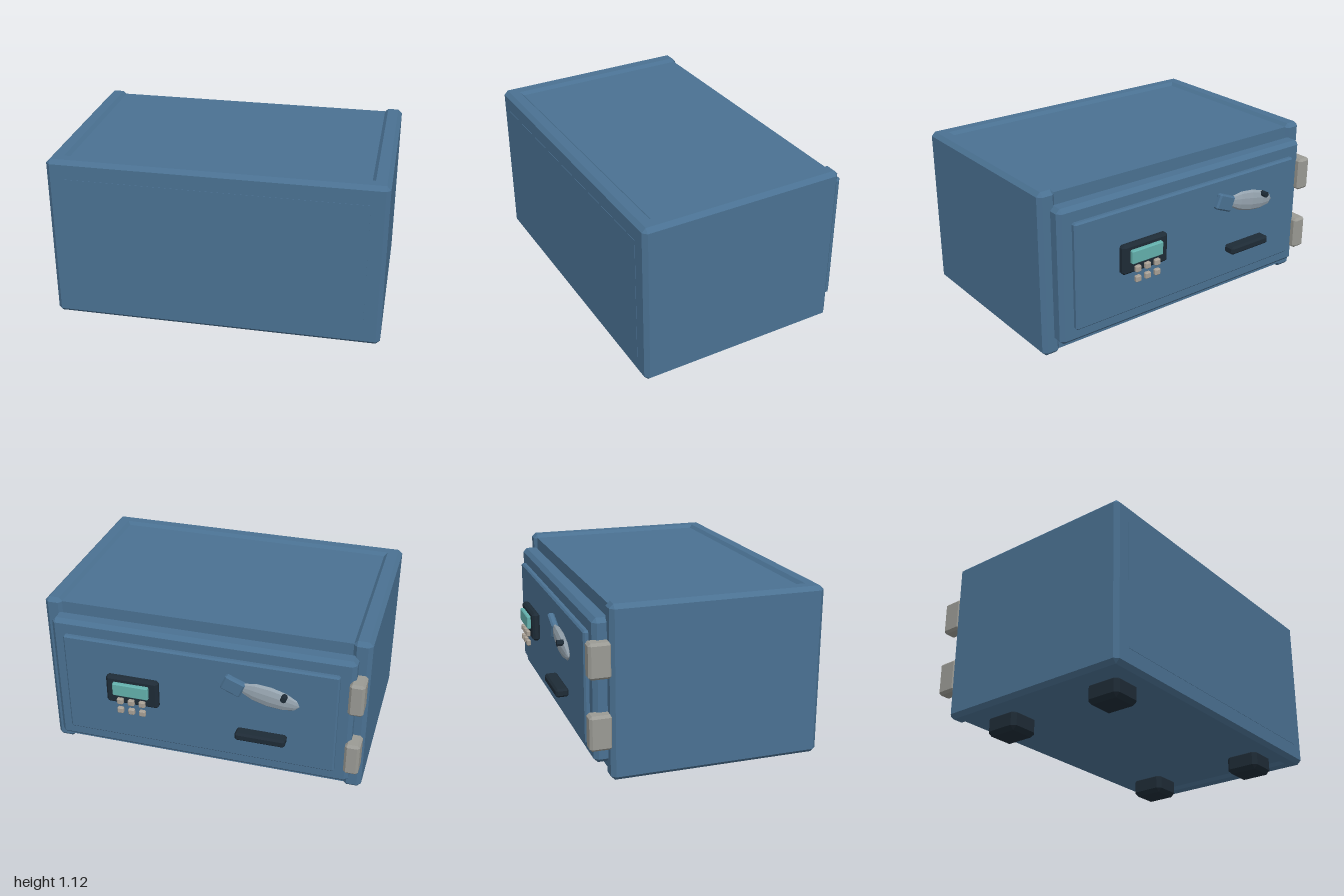
import * as THREE from 'three';
import { ConvexGeometry } from 'three/addons/geometries/ConvexGeometry.js';

const mat = (color) => new THREE.MeshStandardMaterial({ color, flatShading: true });

// Box from min and max corners with all edges chamfered by c
function chamferBox(name, [x0, x1], [y0, y1], [z0, z1], c, material) {
  const h = [(x1 - x0) / 2, (y1 - y0) / 2, (z1 - z0) / 2];
  const points = [];
  for (const sx of [-1, 1]) for (const sy of [-1, 1]) for (const sz of [-1, 1]) {
    for (let full = 0; full < 3; full++) {
      const p = [sx, sy, sz].map((s, i) => s * (h[i] - (i === full ? 0 : c)));
      points.push(new THREE.Vector3(...p));
    }
  }
  const mesh = new THREE.Mesh(new ConvexGeometry(points), material);
  mesh.name = name;
  mesh.position.set((x0 + x1) / 2, (y0 + y1) / 2, (z0 + z1) / 2);
  return mesh;
}

export function createModel() {
  const model = new THREE.Group();
  model.name = 'safe';
  const blue = mat(0x4a7192);
  const dark = mat(0x1e2b36);
  const steel = mat(0x95a3ae);
  const hingeGrey = mat(0x9a9a94);
  const teal = mat(0x63b0ac);
  const buttonGrey = mat(0xa8a095);
  const add = (...args) => {
    const mesh = chamferBox(...args);
    model.add(mesh);
    return mesh;
  };

  // Cabinet: recessed core, side walls and rear wall standing slightly proud
  const core = new THREE.Mesh(new THREE.BoxGeometry(1.82, 0.99, 1.2), blue);
  core.name = 'cabinetCore';
  core.position.set(0, 0.605, 0.085);
  model.add(core);
  add('rightWall', [-1, -0.885], [0.09, 1.12], [-0.535, 0.74], 0.025, blue);
  add('leftWall', [0.885, 1], [0.09, 1.12], [-0.535, 0.74], 0.025, blue);
  add('rearWall', [-0.985, 0.985], [0.09, 1.12], [0.63, 0.74], 0.025, blue);

  // Rear inset panel, nearly flush
  const rearPanel = new THREE.Mesh(new THREE.BoxGeometry(1.79, 0.8, 0.02), blue);
  rearPanel.name = 'rearPanel';
  rearPanel.position.set(0, 0.605, 0.732);
  model.add(rearPanel);

  // Feet
  for (const [x0, x1] of [[-0.82, -0.62], [0.62, 0.82]]) {
    for (const [z0, z1] of [[-0.39, -0.165], [0.38, 0.6]]) {
      add('foot', [x0, x1], [0, 0.13], [z0, z1], 0.025, dark);
    }
  }

  // Door slab and raised face
  add('door', [-0.93, 0.93], [0.18, 1.03], [-0.615, -0.5], 0.025, blue);
  add('doorFace', [-0.845, 0.845], [0.27, 0.94], [-0.645, -0.6], 0.01, blue);

  // Hinges
  for (const y of [0.28, 0.7]) {
    add('hinge', [-0.99, -0.9], [y, y + 0.21], [-0.655, -0.52], 0.015, hingeGrey);
  }

  // Keypad with screen and two rows of keys
  add('keypad', [0.23, 0.56], [0.555, 0.742], [-0.705, -0.655], 0.015, dark);
  add('screen', [0.285, 0.51], [0.625, 0.71], [-0.73, -0.7], 0.006, teal);
  for (const y of [0.586, 0.522]) {
    for (const x of [0.325, 0.395, 0.465]) {
      add('key', [x - 0.02, x + 0.02], [y - 0.02, y + 0.02], [-0.732, -0.705], 0.006, buttonGrey);
    }
  }

  // Latch handle: tilted block, faceted lever and small knob
  const block = add('handleBlock', [-0.295, -0.165], [0.75, 0.85], [-0.697, -0.655], 0.01, blue);
  block.rotation.z = 0.39;
  const lever = new THREE.Mesh(new THREE.SphereGeometry(1, 10, 6), steel);
  lever.name = 'handleLever';
  lever.geometry.rotateZ(Math.PI / 2);
  lever.scale.set(0.185, 0.068, 0.026);
  lever.position.set(-0.447, 0.76, -0.676);
  lever.rotation.z = 0.2;
  model.add(lever);
  const knob = new THREE.Mesh(new THREE.CylinderGeometry(0.019, 0.019, 0.04, 8), dark);
  knob.name = 'handleKnob';
  knob.rotation.x = Math.PI / 2;
  knob.position.set(-0.54, 0.786, -0.705);
  model.add(knob);

  // Pull bar
  add('pullBar', [-0.56, -0.255], [0.455, 0.507], [-0.742, -0.663], 0.012, dark);

  return model;
}
